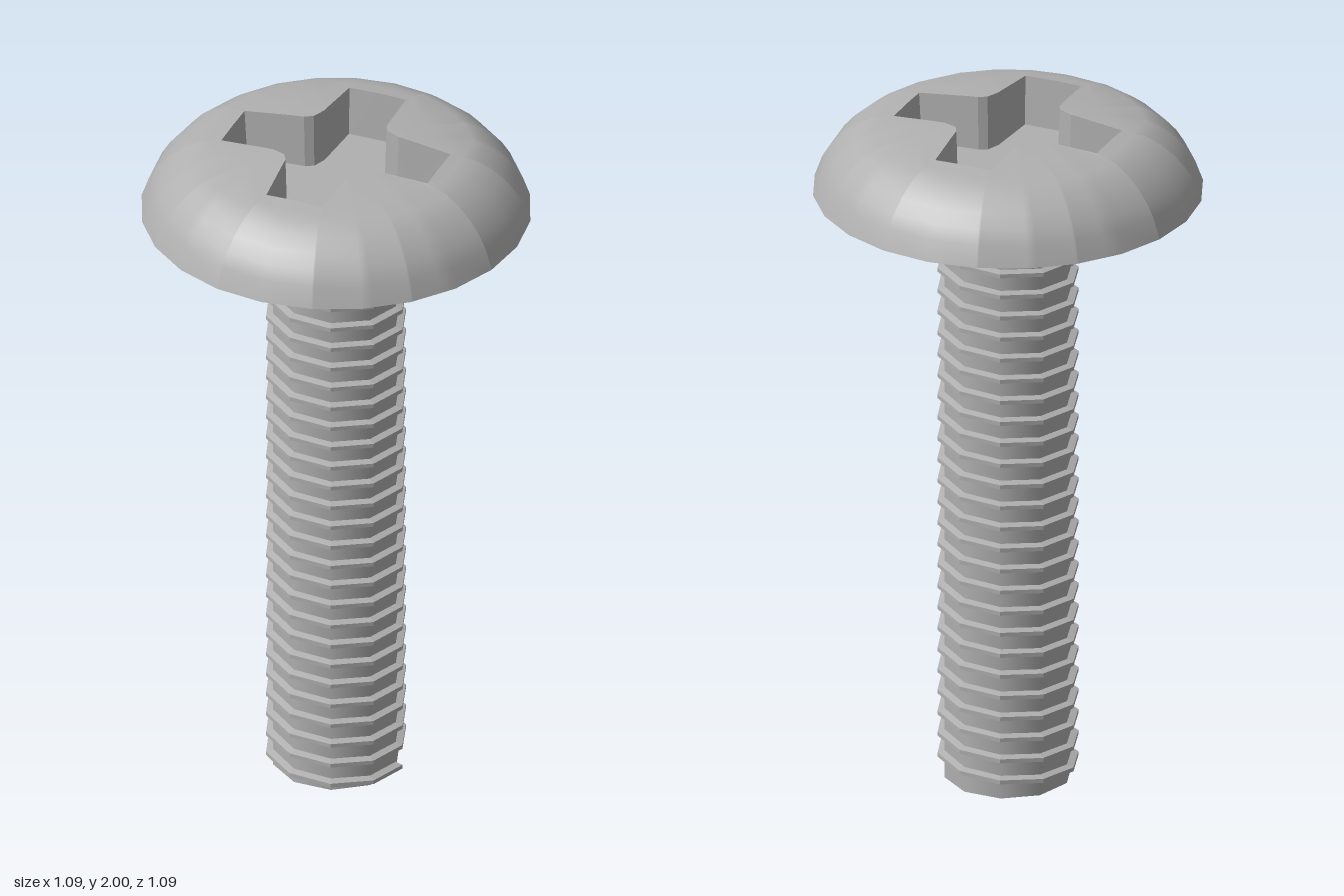
import * as THREE from 'three';

const SIDES = 24, HEAD_Y = 1.787, HEAD_R = 0.545, FLOOR_Y = 1.84;
const steel = new THREE.MeshStandardMaterial({ color: 0xb0b0b0 });
steel.name = 'steel';

// Height of the gently curved crown at a given radius
const CROWN = [[0, 2], [0.14, 2], [0.21, 1.996], [0.3, 1.988], [0.386, 1.973]];
function crownY(r) {
  for (let i = 1; i < CROWN.length; i++) {
    const [r0, y0] = CROWN[i - 1], [r1, y1] = CROWN[i];
    if (r <= r1) return y0 + (y1 - y0) * (r - r0) / (r1 - r0);
  }
  return CROWN[CROWN.length - 1][1];
}

// Cross-shaped recess outline: one inner corner turned four times
function crossOutline() {
  const corner = [[0.309, 0.087], [0.149, 0.097], [0.109, 0.112], [0.096, 0.136], [0.082, 0.309]];
  const pts = [];
  for (let q = 0; q < 4; q++)
    for (const [x, y] of corner)
      pts.push(new THREE.Vector2(x, y).rotateAround(new THREE.Vector2(), q * Math.PI / 2));
  return pts;
}

// Distance from the axis to the outline along an angle
function outlineRadius(pts, a) {
  const d = new THREE.Vector2(Math.cos(a), Math.sin(a));
  let best = 0;
  pts.forEach((p, i) => {
    const e = pts[(i + 1) % pts.length].clone().sub(p);
    const den = d.cross(e);
    if (Math.abs(den) < 1e-9) return;
    const r = p.cross(e) / den, t = p.cross(d) / den;
    if (r > 0 && t > -1e-6 && t < 1 + 1e-6) best = Math.max(best, r);
  });
  return best;
}

function build(positions, index, flat) {
  let g = new THREE.BufferGeometry();
  g.setAttribute('position', new THREE.Float32BufferAttribute(positions, 3));
  g.setIndex(index);
  if (flat) g = g.toNonIndexed();
  g.computeVertexNormals();
  return g;
}

function add(group, name, geometry) {
  const mesh = new THREE.Mesh(geometry, steel);
  mesh.name = name;
  group.add(mesh);
  return mesh;
}

function makeHead() {
  const head = new THREE.Group();
  head.name = 'head';
  const cross = crossOutline();
  const step = 2 * Math.PI / SIDES;
  const angles = cross.map(p => (p.angle() + 2 * Math.PI) % (2 * Math.PI));
  for (let i = 0; i < SIDES; i++) angles.push(i * step);
  angles.sort((a, b) => a - b);
  const n = angles.length;

  // Dome: rings running from the recess edge out to the rim
  const rings = [[0.386, 1.973], [0.43, 1.95], [0.468, 1.92], [0.5, 1.884], [0.524, 1.845], [HEAD_R, HEAD_Y]];
  const dome = [], domeIdx = [], wall = [], wallIdx = [];
  const rows = rings.length + 2;
  angles.forEach((a, i) => {
    const c = Math.cos(a), s = -Math.sin(a);
    const chord = Math.cos(step / 2) / Math.cos((a % step) - step / 2);
    const r0 = outlineRadius(cross, a), rm = (r0 + 0.386 * chord) / 2;
    const column = [[r0, crownY(r0)], [rm, crownY(rm)], ...rings.map(([r, y]) => [r * chord, y])];
    for (const [r, y] of column) dome.push(r * c, y, r * s);
    const k = (i + 1) % n;
    for (let j = 0; j < rows - 1; j++) {
      const p = i * rows + j, q = k * rows + j;
      domeIdx.push(p, p + 1, q + 1, p, q + 1, q);
    }
    // Recess walls narrow slightly towards the floor
    wall.push(r0 * c, crownY(r0), r0 * s, r0 * 0.97 * c, FLOOR_Y, r0 * 0.97 * s);
    wallIdx.push(2 * i, 2 * k, 2 * k + 1, 2 * i, 2 * k + 1, 2 * i + 1);
  });
  add(head, 'dome', build(dome, domeIdx, false));
  add(head, 'recessWalls', build(wall, wallIdx, true));

  const floor = new THREE.ShapeGeometry(new THREE.Shape(cross.map(p => p.clone().multiplyScalar(0.97))));
  add(head, 'recessFloor', floor.rotateX(-Math.PI / 2)).position.y = FLOOR_Y;

  add(head, 'underside', new THREE.CircleGeometry(HEAD_R, SIDES).rotateX(Math.PI / 2)).position.y = HEAD_Y;
  return head;
}

// Helical ridge swept around the ten-sided shank
function makeThread() {
  const sides = 10, pitch = 0.0645, turns = 27.4;
  const section = [[0.174, -0.013], [0.2, -0.006], [0.2, 0.006], [0.174, 0.013]];
  const pos = [], idx = [], count = Math.round(turns * sides);
  for (let i = 0; i <= count; i++) {
    const a = i / sides * 2 * Math.PI, y = 0.013 + pitch * i / sides;
    for (const [r, h] of section) pos.push(r * Math.cos(a), y + h, r * Math.sin(a));
    if (i === count) break;
    for (let j = 0; j < 3; j++) {
      const p = i * 4 + j, q = p + 4;
      idx.push(p, p + 1, q + 1, p, q + 1, q);
    }
  }
  // End caps
  const e = count * 4;
  idx.push(0, 2, 1, 0, 3, 2, e, e + 1, e + 2, e, e + 2, e + 3);
  return build(pos, idx, true);
}

export function createModel() {
  const model = new THREE.Group();
  model.name = 'screw';
  model.add(makeHead());
  const shank = new THREE.CylinderGeometry(0.18, 0.18, HEAD_Y, 10, 1, false, Math.PI / 2);
  add(model, 'shank', shank).position.y = HEAD_Y / 2;
  add(model, 'thread', makeThread());
  return model;
}
